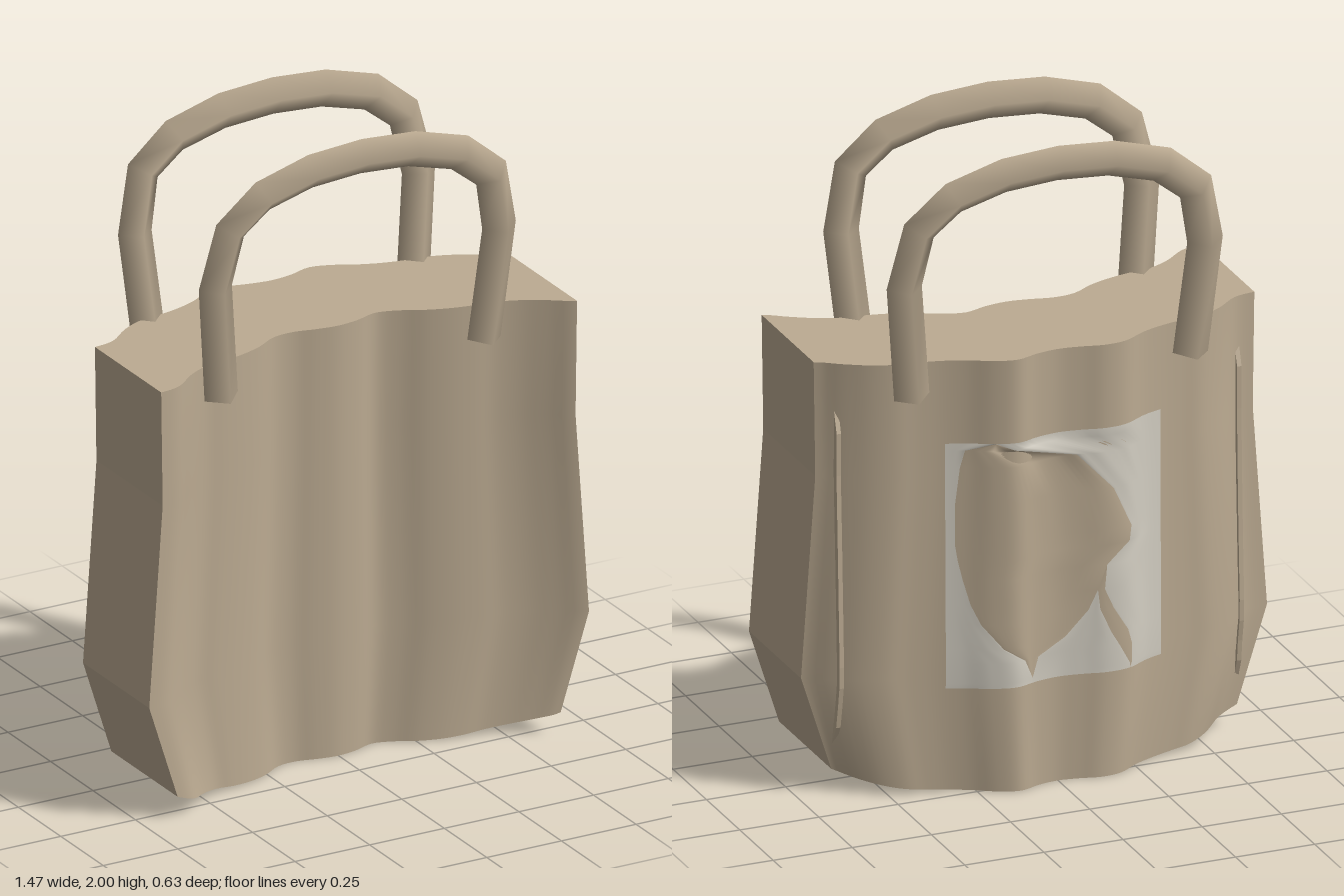
import * as THREE from 'three';

const fabric = new THREE.MeshStandardMaterial({ color: 0xbcab92 });
fabric.name = 'tan fabric';
const label = new THREE.MeshStandardMaterial({ color: 0xd4cfc3 });
label.name = 'pale print';

const DEPTH = 0.39;
// Rippled depth of the front cloth, from the right side to the left
const ripple = [.305, .29, .235, .2, .19, .175, .15, .11, .103, .118, .127,
  .118, .097, .115, .15, .175, .19, .2, .225, .265, .31];
const spline = new THREE.SplineCurve(ripple.map((z, i) => new THREE.Vector2(i, z)));
const frontZ = u => spline.getPoint(THREE.MathUtils.clamp((u + 1) / 2, 0, 1)).y;

// Half width of the bag at each height
const rows = [[0.07, 0.64], [0.37, 0.735], [1.0, 0.69], [1.36, 0.695]];

function halfWidth(y) {
  for (let i = 1; i < rows.length; i++) {
    const [y0, w0] = rows[i - 1], [y1, w1] = rows[i];
    if (y <= y1) return w0 + (w1 - w0) * (y - y0) / (y1 - y0);
  }
  return rows[3][1];
}

// Point on the cloth: u across (-1..1), r row, d 0 front .. 1 back
function cloth(u, r, d) {
  const [y, w] = rows[r];
  return [u * w, r === 0 ? y * u ** 4 : y, frontZ(u) - DEPTH * d];
}

// Point lying a little outside the back cloth
const onBack = (x, y, out) => [x, y, frontZ(x / halfWidth(y)) - DEPTH - out];

// Surface over a grid; it faces du x dv
function grid(nu, nv, f, flat = false) {
  const pos = [], idx = [];
  for (let j = 0; j <= nv; j++) {
    for (let i = 0; i <= nu; i++) {
      pos.push(...f(i / nu, j / nv, j));
      if (i < nu && j < nv) {
        const a = j * (nu + 1) + i, b = a + nu + 1;
        idx.push(a, a + 1, b + 1, a, b + 1, b);
      }
    }
  }
  let g = new THREE.BufferGeometry();
  g.setAttribute('position', new THREE.Float32BufferAttribute(pos, 3));
  g.setIndex(idx);
  if (flat) g = g.toNonIndexed();
  g.computeVertexNormals();
  return g;
}

function add(parent, name, geometry, material) {
  const m = new THREE.Mesh(geometry, material);
  m.name = name;
  parent.add(m);
  return m;
}

function buildBody() {
  const body = new THREE.Group();
  body.name = 'bagBody';
  const N = 80;
  add(body, 'frontPanel', grid(N, 3, (s, t, r) => cloth(2 * s - 1, r, 0)), fabric);
  add(body, 'backPanel', grid(N, 3, (s, t, r) => cloth(1 - 2 * s, r, 1)), fabric);
  add(body, 'leftSide', grid(1, 3, (s, t, r) => cloth(1, r, s), true), fabric);
  add(body, 'rightSide', grid(1, 3, (s, t, r) => cloth(-1, r, 1 - s), true), fabric);
  add(body, 'topClosure', grid(N, 1, (s, t) => cloth(2 * s - 1, 3, t)), fabric);
  add(body, 'base', grid(N, 1, (s, t) => cloth(2 * s - 1, 0, 1 - t)), fabric);
  return body;
}

// Thin raised seams near the two back edges
function buildSeam(side) {
  const loop = [[0.007, -0.005], [0.007, 0.016], [-0.007, 0.016], [-0.007, -0.005]];
  const n = 16;
  return grid(3, n, (s, t, j) => {
    const [dx, out] = loop[Math.round(s * 3)];
    const p = onBack(side * 0.637, 0.15 + 1.06 * t, j === 0 || j === n ? -0.005 : out);
    p[0] += dx;
    return p;
  }, true);
}

// Printed panel: per height, the borders of a large blob and its thin tail
const print = [
  [0, .2, .2, .2, .2], [.03, .08, .28, .28, .28], [.1, .06, .58, .58, .58],
  [.25, .04, .74, .74, .74], [.42, .04, .83, .83, .83], [.48, .05, .82, .82, .82],
  [.56, .07, .71, .71, .71], [.66, .1, .67, .67, .7], [.74, .14, .63, .68, .74],
  [.84, .23, .53, .73, .81], [.9, .33, .4, .77, .83], [.98, .37, .37, .82, .83],
  [1, .37, .37, .82, .82],
];

function buildPrint() {
  const panel = new THREE.Group();
  panel.name = 'backPrint';
  const last = print.length - 1;
  for (let band = 0; band < 5; band++) {
    const g = grid(24, last, (s, t, j) => {
      const row = print[last - j];
      const a = band === 0 ? 0 : row[band], b = band === 4 ? 1 : row[band + 1];
      return onBack(0.34 - 0.68 * (a + (b - a) * s), 1.1 - 0.77 * row[0], 0.006);
    });
    const blob = band % 2 === 1;
    add(panel, blob ? 'printShape' : 'printGround', g, blob ? fabric : label);
  }
  return panel;
}

// Four-sided carrying loop, mirrored for the back
function buildHandle(name, dir) {
  const half = [[0.44, 1.26, 0.21], [0.475, 1.62, 0.237], [0.437, 1.8, 0.257],
    [0.33, 1.888, 0.26], [0.17, 1.933, 0.26]];
  const pts = [
    ...half.map(([x, y, z]) => new THREE.Vector3(-x, y, z * dir)),
    new THREE.Vector3(0, 1.945, 0.26 * dir),
    ...half.slice().reverse().map(([x, y, z]) => new THREE.Vector3(x, y, z * dir)),
  ];
  const curve = new THREE.CatmullRomCurve3(pts);
  // Put the rings exactly at the listed points
  curve.getPointAt = (t, v) => curve.getPoint(t, v);
  curve.getTangentAt = (t, v) => curve.getTangent(t, v);
  const handle = new THREE.Group();
  handle.name = name;
  add(handle, 'loop', new THREE.TubeGeometry(curve, pts.length - 1, 0.056, 4), fabric);
  for (const p of [pts[0], pts[pts.length - 1]]) {
    const end = new THREE.CircleGeometry(0.056, 4).rotateX(Math.PI / 2);
    add(handle, 'loopEnd', end, fabric).position.copy(p);
  }
  return handle;
}

export function createModel() {
  const model = new THREE.Group();
  model.name = 'toteBag';
  model.add(buildBody());
  add(model, 'leftSeam', buildSeam(1), fabric);
  add(model, 'rightSeam', buildSeam(-1), fabric);
  model.add(buildPrint());
  model.add(buildHandle('frontHandle', 1), buildHandle('backHandle', -1));
  return model;
}
